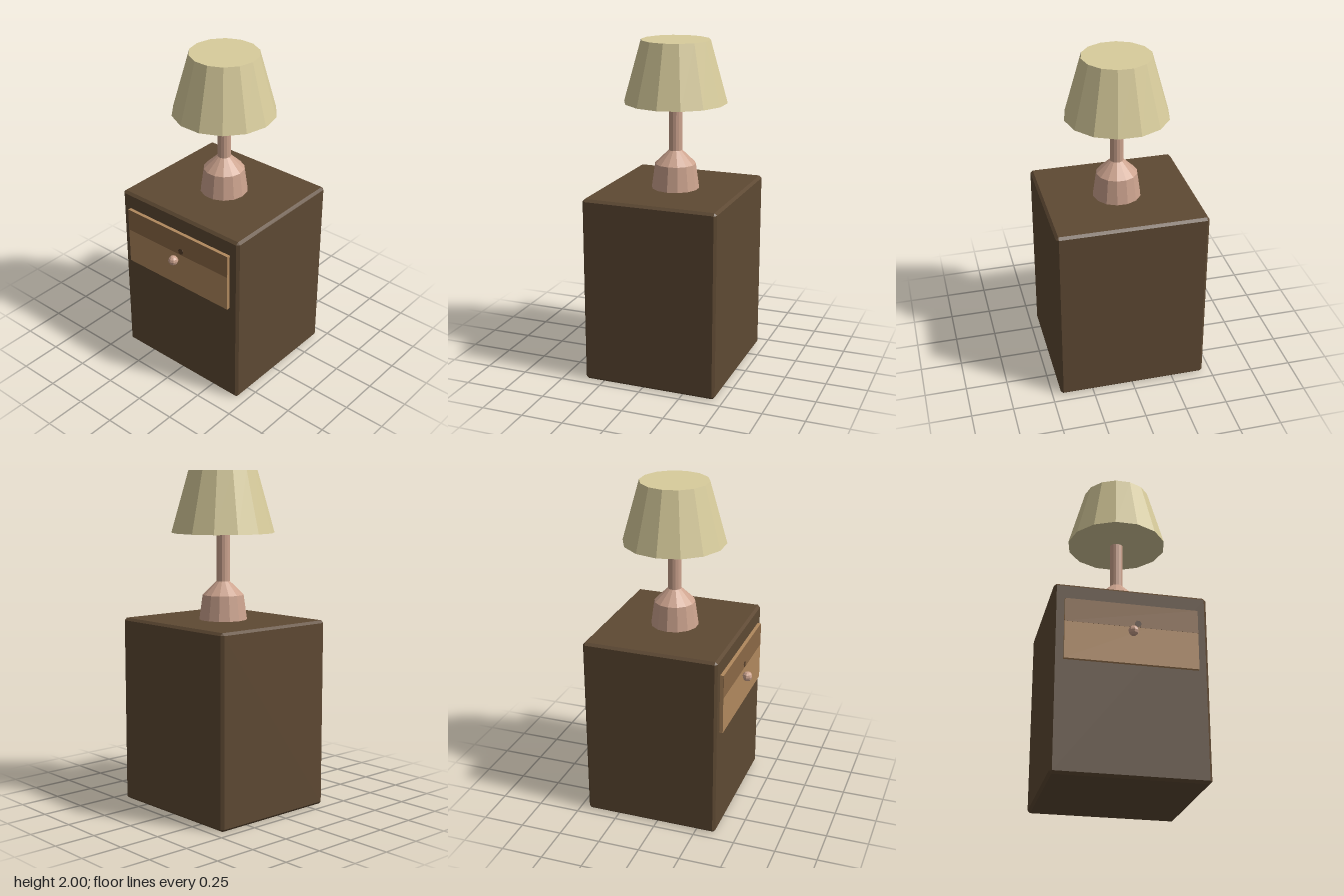
import * as THREE from 'three';
import { ConvexGeometry } from 'three/addons/geometries/ConvexGeometry.js';

function material(name, color) {
  const m = new THREE.MeshStandardMaterial({ color });
  m.name = name;
  return m;
}

// Box with flat chamfers on every edge and corner
function chamferedBox(w, h, d, c) {
  const points = [];
  for (const x of [-1, 1]) for (const y of [-1, 1]) for (const z of [-1, 1]) {
    for (let axis = 0; axis < 3; axis++) {
      const inset = [c, c, c];
      inset[axis] = 0;
      points.push(new THREE.Vector3(
        x * (w / 2 - inset[0]), y * (h / 2 - inset[1]), z * (d / 2 - inset[2])));
    }
  }
  return new ConvexGeometry(points);
}

export function createModel() {
  const group = new THREE.Group();
  const darkWood = material('dark wood', 0x5e4933);
  const lightWood = material('light wood', 0xb0885d);
  const midWood = material('mid wood', 0x8b6846);
  const keyhole = material('keyhole brown', 0x57402b);
  const clay = material('clay', 0xcca38e);
  const cream = material('cream', 0xd8cc9c);
  for (const m of [lightWood, midWood, darkWood, keyhole, clay, cream]) m.flatShading = true;

  const add = (name, geometry, mat, x, y, z) => {
    const mesh = new THREE.Mesh(geometry, mat);
    mesh.name = name;
    mesh.position.set(x, y, z);
    group.add(mesh);
    return mesh;
  };

  // Cabinet and drawer
  add('cabinet', chamferedBox(0.896, 1.123, 0.814, 0.015), darkWood, 0, 0.5615, -0.04);
  add('drawer', new THREE.BoxGeometry(0.774, 0.366, 0.033), lightWood, 0, 0.838, 0.3715);
  add('drawerUpperBand', new THREE.BoxGeometry(0.774, 0.142, 0.002), midWood, 0, 0.95, 0.388);
  add('drawerKnob', new THREE.SphereGeometry(0.03, 8, 6), clay, 0, 0.842, 0.418);

  // Small keyhole mark above the knob
  const hole = add('keyhole', new THREE.CylinderGeometry(0.02, 0.02, 0.002, 7), keyhole, 0.034, 0.902, 0.3895);
  hole.rotation.x = Math.PI / 2;

  // Lamp: tapered sections stacked on one axis
  const sections = [
    ['lampBase', 0.143, 0.122, 1.12, 1.27, clay],
    ['lampShoulder', 0.122, 0.04, 1.27, 1.35, clay],
    ['lampStem', 0.04, 0.04, 1.35, 1.65, clay],
    ['lampShade', 0.305, 0.203, 1.637, 2, cream],
  ];
  for (const [name, bottom, top, y0, y1, mat] of sections) {
    const geometry = new THREE.CylinderGeometry(top, bottom, y1 - y0, 14);
    geometry.rotateY(Math.PI / 2);
    add(name, geometry, mat, 0, (y0 + y1) / 2, -0.04);
  }
  return group;
}
